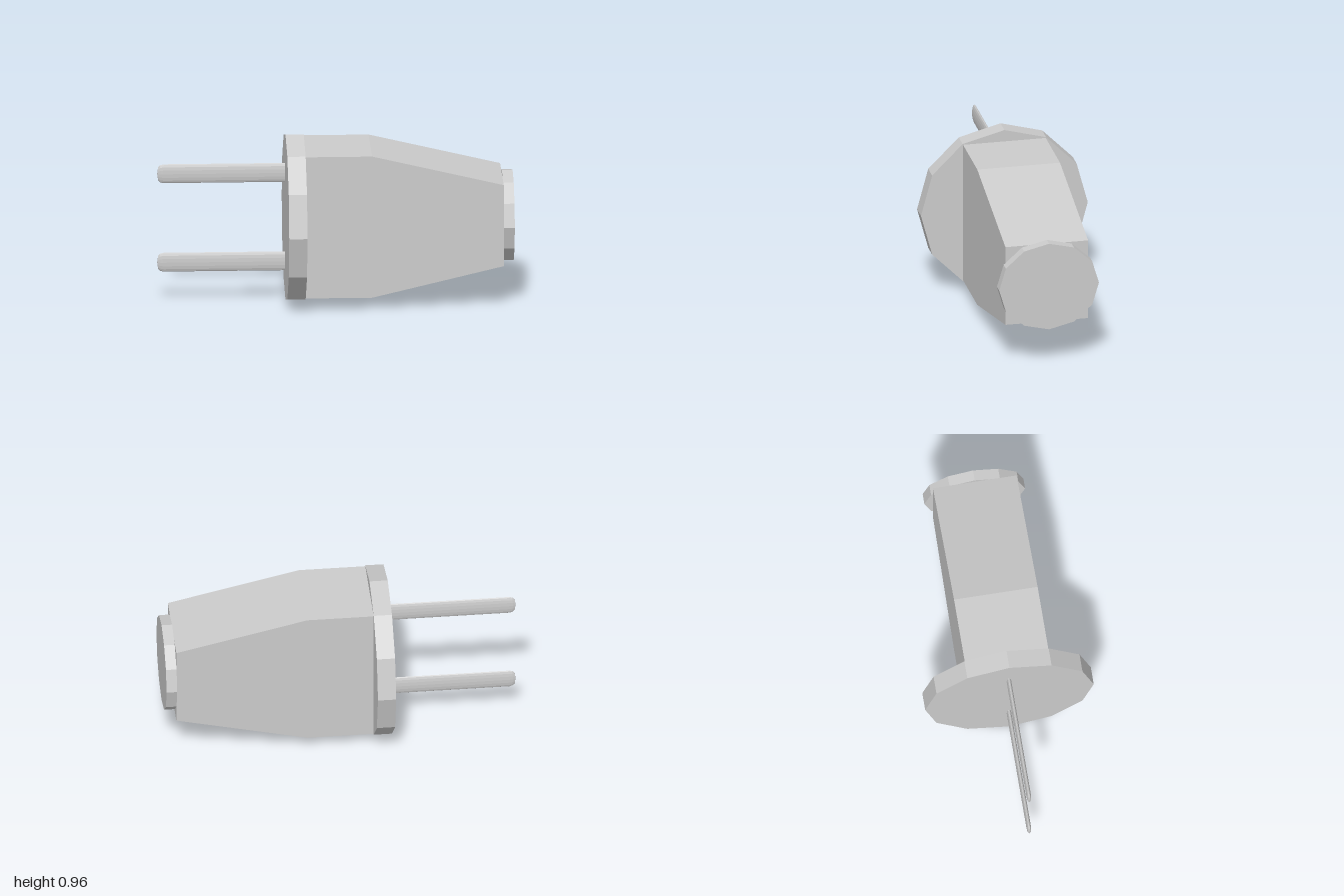
import * as THREE from 'three';

export function createModel() {
  const group = new THREE.Group();
  const material = new THREE.MeshStandardMaterial({ color: 0xcccccc, flatShading: true });
  const midY = 0.483;

  const add = (name, geometry, x, y, z = 0) => {
    const mesh = new THREE.Mesh(geometry, material);
    mesh.name = name;
    mesh.position.set(x, y, z);
    group.add(mesh);
  };

  // Twelve-sided disc lying along x
  const disc = (radiusY, radiusZ, width) =>
    new THREE.CylinderGeometry(1, 1, width, 12).rotateZ(Math.PI / 2).scale(1, radiusY, radiusZ);

  // Face plate and cable-end cap
  add('facePlate', disc(0.48, 0.48, 0.103), -0.2265, midY);
  add('endCap', disc(0.26, 0.287, 0.06), 0.97, midY);

  // Tapered grip: side outline extruded across z
  const outline = [[-0.178, -0.411], [0.2, -0.411], [0.94, -0.236], [0.94, 0.236], [0.2, 0.411], [-0.178, 0.411]];
  const shape = new THREE.Shape(outline.map(([x, y]) => new THREE.Vector2(x, y)));
  const grip = new THREE.ExtrudeGeometry(shape, { depth: 0.476, bevelEnabled: false }).translate(0, 0, -0.238);
  add('grip', grip, 0, midY);

  // Two flat oval prongs with rounded tips, pointing to -x
  const prongProfile = [[0, 0], [0.055, 0], [0.055, 0.685], [0.05, 0.703], [0.037, 0.715], [0, 0.72]]
    .map(([r, h]) => new THREE.Vector2(r, h));
  for (const [name, y] of [['upperProng', 0.743], ['lowerProng', 0.228]]) {
    const prong = new THREE.LatheGeometry(prongProfile, 16).rotateZ(Math.PI / 2).scale(1, 1, 0.24);
    add(name, prong, -0.28, y, -0.003);
  }

  return group;
}
